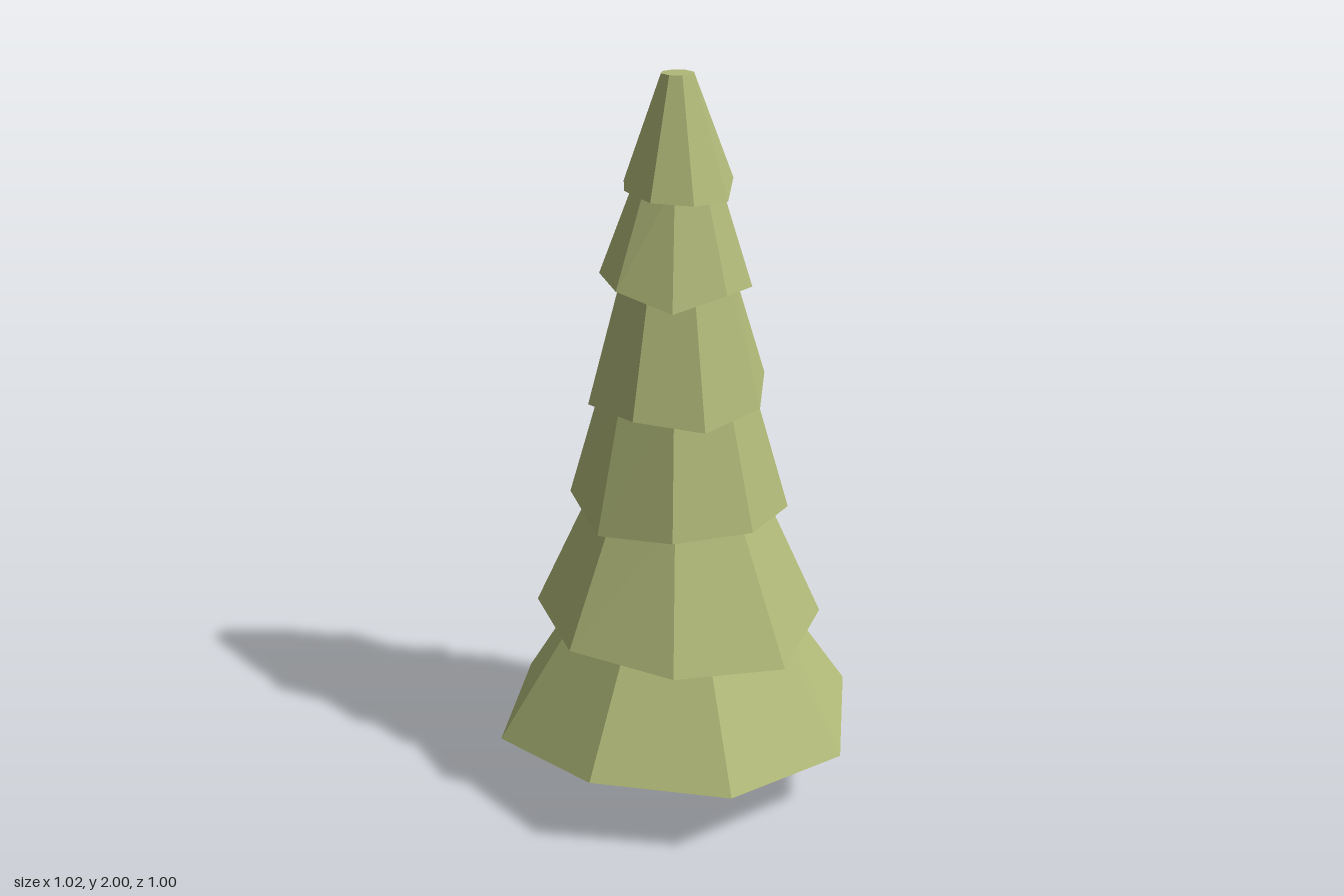
import * as THREE from 'three';

const SIDES = 8;

// One ring of points around the y axis; angles run from the front (+z) towards +x.
function ring(start, radius, height) {
  return Array.from({ length: SIDES }, (_, k) => {
    const a = THREE.MathUtils.degToRad(start) + (k * Math.PI * 2) / SIDES;
    return [radius(k) * Math.sin(a), height(k), radius(k) * Math.cos(a)];
  });
}

// Skin a series of rings; the first and last rings are collapsed to points.
function skin(rings) {
  const pos = [];
  for (let i = 0; i < rings.length - 1; i++) {
    for (let k = 0; k < SIDES; k++) {
      const n = (k + 1) % SIDES;
      const a = rings[i][k], b = rings[i][n], c = rings[i + 1][k], d = rings[i + 1][n];
      if (i > 0) pos.push(...a, ...b, ...d);
      if (i < rings.length - 2) pos.push(...a, ...d, ...c);
      else pos.splice(pos.length - 9, 9, ...a, ...b, ...d);
    }
  }
  const geo = new THREE.BufferGeometry();
  geo.setAttribute('position', new THREE.Float32BufferAttribute(pos, 3));
  geo.computeVertexNormals();
  return geo;
}

// A tier of foliage: sloping skirt with an uneven rim and a recessed underside.
function tierGeometry({ start, radii, rim, top, topRadius }) {
  const mean = (list) => list.reduce((s, v) => s + v, 0) / list.length;
  const size = mean(radii);
  const ceiling = mean(rim) + size * 0.25;
  return skin([
    ring(start, () => 0, () => ceiling),
    ring(start, () => size * 0.62, () => ceiling),
    ring(start, (k) => radii[k] * 0.73, (k) => rim[k]),
    ring(start, (k) => radii[k], (k) => rim[k]),
    ring(start, () => topRadius, () => top),
    ring(start, () => 0, () => top),
  ]);
}

// Tiers from the ground up: rim radii and rim heights per corner.
const TIERS = [
  { start: 0, top: 0.55, topRadius: 0.275,
    radii: [0.5, 0.51, 0.51, 0.524, 0.505, 0.5, 0.515, 0.488],
    rim: [0.195, 0.175, 0.2, 0.155, 0.19, 0.19, 0.17, 0.21] },
  { start: 27, top: 0.88, topRadius: 0.23,
    radii: [0.415, 0.398, 0.396, 0.398, 0.39, 0.392, 0.396, 0.392],
    rim: [0.48, 0.505, 0.505, 0.49, 0.5, 0.53, 0.52, 0.5] },
  { start: 26, top: 1.2, topRadius: 0.195,
    radii: [0.293, 0.302, 0.318, 0.308, 0.322, 0.293, 0.286, 0.286],
    rim: [0.84, 0.825, 0.855, 0.835, 0.86, 0.86, 0.82, 0.84] },
  { start: 0, top: 1.49, topRadius: 0.15,
    radii: [0.25, 0.245, 0.245, 0.252, 0.25, 0.25, 0.245, 0.24],
    rim: [1.13, 1.15, 1.185, 1.18, 1.17, 1.16, 1.145, 1.15] },
  { start: 25, top: 1.74, topRadius: 0.105,
    radii: [0.19, 0.195, 0.205, 0.215, 0.215, 0.204, 0.208, 0.204],
    rim: [1.465, 1.45, 1.46, 1.45, 1.47, 1.48, 1.475, 1.435] },
  { start: 0, top: 2, topRadius: 0.043,
    radii: [0.145, 0.145, 0.15, 0.155, 0.155, 0.158, 0.14, 0.142],
    rim: [1.695, 1.69, 1.725, 1.7, 1.71, 1.71, 1.71, 1.7] },
];

export function createModel() {
  const tree = new THREE.Group();
  tree.name = 'firTree';

  const foliageMaterial = new THREE.MeshStandardMaterial({ color: 0xb0b878, flatShading: true });
  const barkMaterial = new THREE.MeshStandardMaterial({ color: 0xc9c3b5, flatShading: true });

  // Tapered trunk
  const trunk = new THREE.Mesh(new THREE.CylinderGeometry(0.082, 0.106, 0.4, SIDES), barkMaterial);
  trunk.name = 'trunk';
  trunk.position.y = 0.2;
  tree.add(trunk);

  // Stacked foliage
  const foliage = new THREE.Group();
  foliage.name = 'foliage';
  TIERS.forEach((tier, i) => {
    const mesh = new THREE.Mesh(tierGeometry(tier), foliageMaterial);
    mesh.name = `foliageTier${i + 1}`;
    foliage.add(mesh);
  });
  tree.add(foliage);

  return tree;
}
